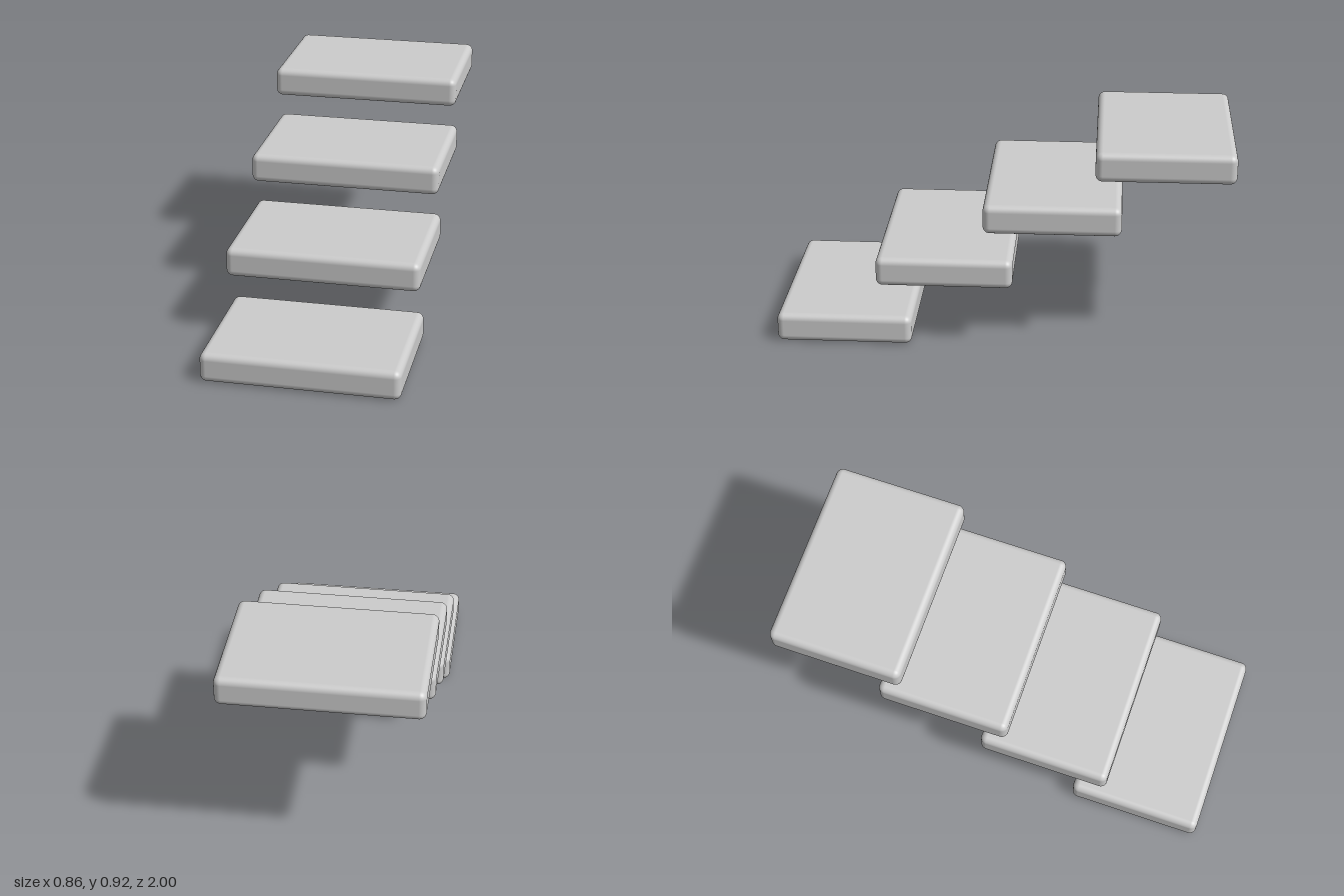
import * as THREE from 'three';
import { RoundedBoxGeometry } from 'three/addons/geometries/RoundedBoxGeometry.js';

const WIDTH = 0.855, HEIGHT = 0.131, DEPTH = 0.6, RADIUS = 0.03;

// Underside height and centre depth of each tread, lowest first
const TREADS = [
  [0, 0.7],
  [0.282, 0.253],
  [0.541, -0.218],
  [0.793, -0.7],
];

export function createModel() {
  const model = new THREE.Group();
  model.name = 'floatingStairs';

  const material = new THREE.MeshStandardMaterial({ color: 0xcccccc });
  const slab = new RoundedBoxGeometry(WIDTH, HEIGHT, DEPTH, 5, RADIUS);

  // Identical rounded slabs climbing towards the back
  TREADS.forEach(([y, z], i) => {
    const tread = new THREE.Mesh(slab, material);
    tread.name = `tread${i + 1}`;
    tread.position.set(0, y + HEIGHT / 2, z);
    model.add(tread);
  });

  return model;
}
